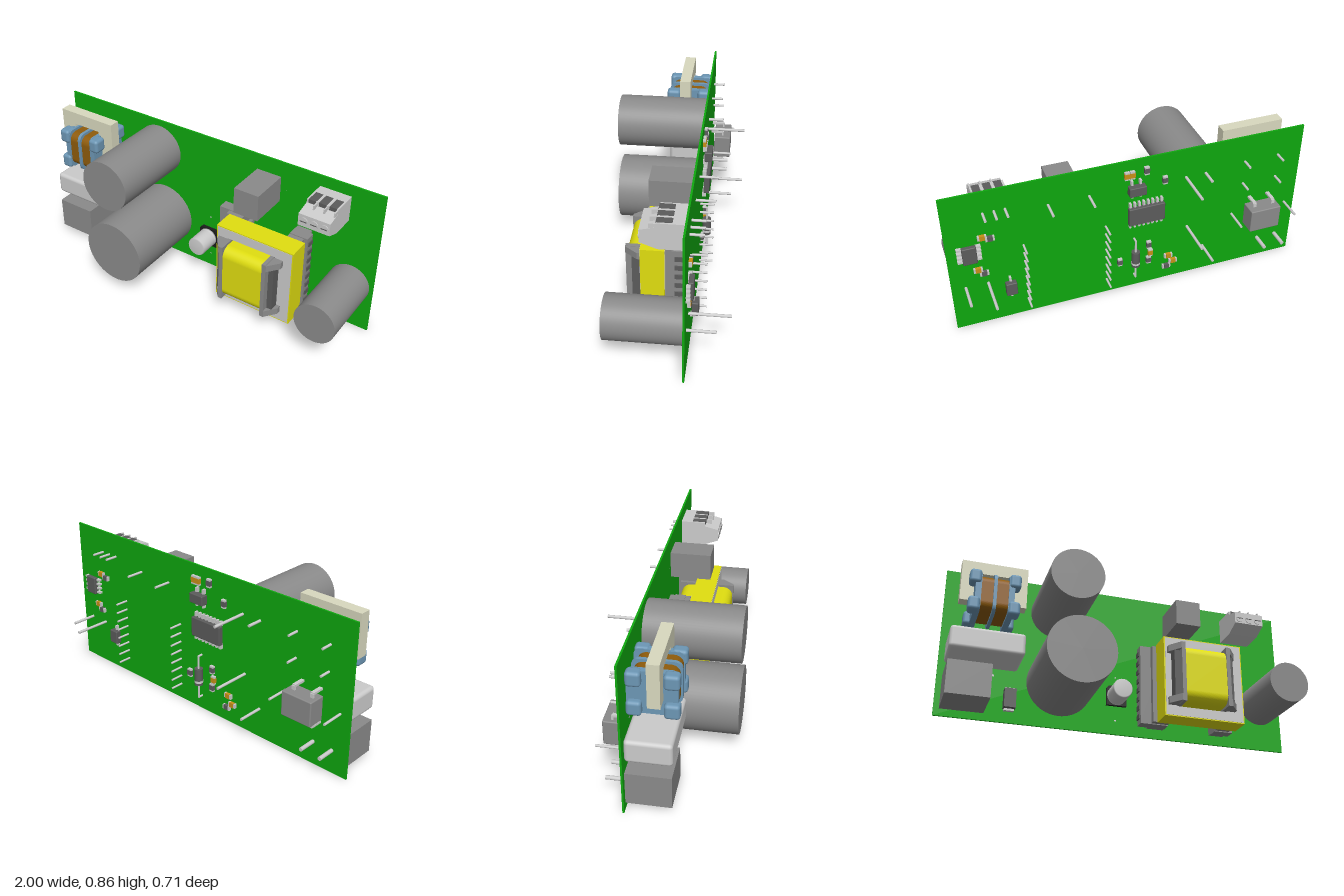
import * as THREE from 'three';
import { RoundedBoxGeometry } from 'three/addons/geometries/RoundedBoxGeometry.js';

const mat = (color) => new THREE.MeshStandardMaterial({ color });
const light = mat(0xcccccc), grey = mat(0x8a8a8a), dark = mat(0x5c5c5c), black = mat(0x1c1c1c);
const green = mat(0x0fa80f), yellow = mat(0xe0de10), blue = mat(0x6d97b5), copper = mat(0x8f5c0c);
const cream = mat(0xd9d9bf), orange = mat(0xc89018);
const FRONT = -0.135, BACK = -0.145; // board faces

export function createModel() {
  const root = new THREE.Group();
  let group = root;
  const part = (name) => {
    group = new THREE.Group();
    group.name = name;
    root.add(group);
  };
  const add = (name, geo, m, x = 0, y = 0, z = 0) => {
    const mesh = new THREE.Mesh(geo, m);
    mesh.name = name;
    mesh.position.set(x, y, z);
    group.add(mesh);
    return mesh;
  };
  // box given by its limits on each axis
  const box = (name, m, x0, x1, y0, y1, z0, z1, r = 0) => {
    const s = [x1 - x0, y1 - y0, z1 - z0];
    const geo = r ? new RoundedBoxGeometry(...s, 3, r) : new THREE.BoxGeometry(...s);
    return add(name, geo, m, (x0 + x1) / 2, (y0 + y1) / 2, (z0 + z1) / 2);
  };
  // cylinder along z
  const rod = (name, m, x, y, r, z0, z1, n = 48) =>
    add(name, new THREE.CylinderGeometry(r, r, z1 - z0, n).rotateX(Math.PI / 2), m, x, y, (z0 + z1) / 2);
  const pin = (x, y, z, r = 0.007) => rod('pin', light, x, y, r, z, FRONT, 12);
  const outline = (pts) => new THREE.Shape(pts.map((p) => new THREE.Vector2(...p)));
  const rect = (x0, x1, y0, y1) => outline([[x0, y0], [x1, y0], [x1, y1], [x0, y1]]);
  const roundRect = (x0, x1, y0, y1, r) => {
    const s = new THREE.Shape();
    s.absarc(x1 - r, y0 + r, r, -Math.PI / 2, 0);
    s.absarc(x1 - r, y1 - r, r, 0, Math.PI / 2);
    s.absarc(x0 + r, y1 - r, r, Math.PI / 2, Math.PI);
    s.absarc(x0 + r, y0 + r, r, Math.PI, Math.PI * 1.5);
    return s;
  };
  const extrude = (shape, depth) => new THREE.ExtrudeGeometry(shape, { depth, bevelEnabled: false, curveSegments: 10 });
  // (z, y) section swept along x; (x, z) section swept along y; (x, y) frame swept along z
  const alongX = (name, m, shape, x0, x1) => add(name, extrude(shape, x1 - x0).rotateY(-Math.PI / 2), m, x1);
  const alongY = (name, m, shape, y0, y1) => add(name, extrude(shape, y1 - y0).rotateX(Math.PI / 2), m, 0, y1);
  const frame = (name, m, outer, hole, z0, z1) => {
    const s = rect(...outer);
    s.holes.push(rect(...hole));
    return add(name, extrude(s, z1 - z0), m, 0, 0, z0);
  };

  box('circuitBoard', green, -1, 1, 0, 0.86, BACK, FRONT);

  // large capacitors with their leads
  const caps = [
    [-0.37, 0.68, 0.145, 0.357, [[-0.31, 0.68, -0.355], [-0.425, 0.68, -0.23]]],
    [-0.337, 0.255, 0.184, 0.357, [[-0.33, 0.34, -0.355], [-0.435, 0.17, -0.29]]],
    [0.865, 0.27, 0.115, 0.257, [[0.805, 0.27, -0.355], [0.925, 0.27, -0.29]]],
  ];
  for (const [x, y, r, z, pins] of caps) {
    part('largeCapacitor');
    rod('can', grey, x, y, r, FRONT, z, 64);
    pins.forEach(([px, py, pz]) => pin(px, py, pz, 0.008));
  }

  part('smallCapacitor');
  alongY('rearSpacer', black, rect(-0.065, 0.033, FRONT, -0.12), 0.17, 0.27);
  add('base', extrude(outline([[-0.074, 0.16], [0.042, 0.16], [0.042, 0.262], [0.03, 0.276], [-0.062, 0.276], [-0.074, 0.262]]), 0.015), black, 0, 0, -0.123);
  const can = [[0, -0.11], [0.055, -0.11], [0.055, -0.098], [0.05, -0.092], [0.055, -0.085], [0.055, 0.01], [0.05, 0.016], [0, 0.016]];
  add('can', new THREE.LatheGeometry(can.map((p) => new THREE.Vector2(...p)), 40).rotateX(Math.PI / 2), light, -0.016, 0.218);

  // input choke
  part('choke');
  frame('core', cream, [-0.935, -0.575, 0.6, 0.84], [-0.845, -0.67, 0.665, 0.77], -0.022, 0.04);
  for (const s of [-1, 1]) {
    const cx = -0.758, lim = (a, b) => (s > 0 ? [cx + a, cx + b] : [cx - b, cx - a]);
    alongX('copperWinding', copper, roundRect(-0.115, 0.105, 0.53, 0.735, 0.045), ...lim(0.007, 0.075));
    alongX('flange', blue, roundRect(-0.135, 0.11, 0.515, 0.75, 0.03), ...lim(0.073, 0.105));
    for (const y of [0.512, 0.675]) {
      box('flangeShoulder', blue, ...lim(0.075, 0.138), y, y + 0.08, 0.045, 0.122, 0.018);
      box('flangeFoot', blue, ...lim(0.075, 0.138), y, y + 0.08, FRONT, -0.06, 0.018);
    }
    for (const y of [0.555, 0.7]) pin(cx + s * 0.1, y, -0.21);
  }
  alongX('centreFlange', blue, roundRect(-0.13, 0.115, 0.515, 0.75, 0.04), -0.767, -0.749);

  part('filmCapacitor');
  box('case', light, -0.97, -0.575, 0.293, 0.42, FRONT, 0.1, 0.02);
  pin(-0.94, 0.355, -0.275);
  pin(-0.605, 0.355, -0.275);

  part('inputBlock');
  box('case', grey, -0.97, -0.74, 0.04, 0.225, FRONT, 0.095);
  pin(-0.79, 0.13, -0.245, 0.011);
  pin(-0.905, 0.13, -0.245, 0.011);

  part('surfaceDiode');
  box('body', dark, -0.642, -0.578, 0.075, 0.182, FRONT, -0.09);
  box('terminals', light, -0.637, -0.583, 0.063, 0.194, FRONT, -0.115);

  part('relayBlock');
  box('case', grey, 0.275, 0.42, 0.62, 0.77, FRONT, 0.093);
  pin(0.235, 0.695, -0.245);
  pin(0.455, 0.695, -0.245);

  // three-way screw terminal
  part('screwTerminal');
  const section = outline([[FRONT, 0.655], [0, 0.655], [0.085, 0.688], [0.085, 0.757], [0.005, 0.776], [0.005, 0.798], [FRONT, 0.798]]);
  alongX('housing', light, section, 0.645, 0.82);
  for (let i = 0; i < 3; i++) {
    const x = 0.676 + i * 0.057;
    rod('screw', light, x, 0.718, 0.024, 0.07, 0.089, 24);
    box('screwSlot', dark, x - 0.018, x + 0.018, 0.716, 0.721, 0.08, 0.0905);
    box('wireEntry', dark, x - 0.02, x + 0.02, 0.779, 0.8, -0.07, 0.007);
    box('rib', light, x + 0.022, x + 0.029, 0.77, 0.795, -0.06, 0.04);
    pin(x, 0.728, -0.215);
  }

  // transformer: taped core, winding and bobbin
  part('transformer');
  const win = [0.262, 0.548, 0.108, 0.457];
  frame('core', light, [0.194, 0.644, 0.056, 0.51], win, -0.013, 0.113);
  frame('coreTape', yellow, [0.187, 0.65, 0.05, 0.516], [0.194, 0.644, 0.056, 0.51], -0.011, 0.111);
  alongX('winding', yellow, roundRect(-0.11, 0.196, 0.122, 0.442, 0.055), 0.275, 0.525);
  for (const s of [-1, 1]) {
    const cx = 0.4, X = (a) => cx + s * a;
    const span = (a, b) => (s > 0 ? [X(a), X(b)] : [X(b), X(a)]);
    box('flange', grey, ...span(0.12, 0.142), 0.11, 0.455, -0.12, 0.2);
    const wedge = [[X(0.13), 0.113], [X(0.195), 0.113], [X(0.195), 0.135], [X(0.145), 0.2], [X(0.13), 0.2]];
    if (s < 0) wedge.reverse();
    for (const y of [0.112, 0.415]) alongY('flangeWedge', grey, outline(wedge), y, y + 0.038);
    box('flangeRib', dark, ...span(0.14, 0.172), 0.15, 0.415, 0.113, 0.165);
    const out = s < 0 ? 0.297 : 0.245;
    box('pinRail', grey, ...span(0.14, out), 0.05, 0.515, -0.105, -0.045);
    box('railStep', grey, ...span(0.14, s < 0 ? 0.235 : 0.225), 0.055, 0.51, FRONT, -0.015);
    for (let i = 0; i < 8; i++) {
      const y = 0.093 + i * 0.054;
      rod('railBoss', dark, X(out - 0.03), y, 0.016, FRONT, -0.1, 12);
      box('railTooth', dark, ...span(out - 0.005, out + 0.006), y - 0.013, y + 0.013, -0.1, -0.06);
      pin(X(out - 0.045), y, -0.22, 0.006);
    }
  }

  // chip on the back with rows of legs along its two long sides
  const chip = (name, x, y, w, h, depth, legs, vertical, m = dark) => {
    part(name);
    box('body', m, x - w / 2, x + w / 2, y - h / 2, y + h / 2, BACK - depth, BACK - 0.008, 0.005);
    const long = vertical ? h : w, wide = (vertical ? w : h) / 2 + 0.012;
    for (let i = 0; i < legs; i++) for (const s of [-1, 1]) {
      const t = ((i + 0.5) / legs - 0.5) * long;
      const [lx, ly] = vertical ? [x + s * wide, y + t] : [x + t, y + s * wide];
      const [a, b] = vertical ? [0.014, 0.006] : [0.006, 0.014];
      box('leg', light, lx - a, lx + a, ly - b, ly + b, BACK - 0.02, BACK);
    }
  };
  chip('controlChip', -0.077, 0.515, 0.205, 0.11, 0.038, 8, false);
  chip('sideChip', 0.885, 0.5, 0.075, 0.105, 0.034, 4, true);
  chip('smallChip', 0.69, 0.22, 0.06, 0.08, 0.043, 1, false);
  chip('regulator', -0.02, 0.687, 0.095, 0.055, 0.05, 2, false);

  part('optocoupler');
  box('body', grey, -0.85, -0.67, 0.29, 0.428, -0.263, -0.165, 0.006);
  for (const x of [-0.82, -0.708]) for (const [y, s] of [[0.45, -1], [0.262, 1]]) {
    box('leg', light, x - 0.01, x + 0.01, y - 0.006, y + 0.006, -0.215, FRONT);
    box('legBend', light, x - 0.01, x + 0.01, y + s * 0.015 - 0.016, y + s * 0.015 + 0.016, -0.221, -0.21);
  }

  part('axialResistor');
  const along = (name, m, r, y0, y1) => add(name, new THREE.CylinderGeometry(r, r, y1 - y0, 20), m, -0.016, (y0 + y1) / 2, -0.172);
  along('body', dark, 0.024, 0.165, 0.265);
  along('band', light, 0.025, 0.18, 0.193);
  along('lead', light, 0.006, 0.08, 0.342);
  for (const y of [0.082, 0.34]) rod('leadEnd', light, -0.016, y, 0.006, -0.175, FRONT, 10);

  // small surface parts on the back: x, y, body material, upright
  const chips = [
    [0.0, 0.775, orange, 1], [0.03, 0.775, orange, 1], [-0.08, 0.785, dark, 1], [-0.185, 0.7, dark, 1],
    [0.81, 0.585, orange, 0], [0.85, 0.38, orange, 0], [0.77, 0.57, dark, 0], [0.82, 0.35, dark, 0],
    [-0.1, 0.28, dark, 1], [-0.11, 0.22, orange, 1], [-0.1, 0.17, dark, 1], [0.07, 0.2, dark, 1],
    [-0.22, 0.165, orange, 0], [-0.25, 0.12, orange, 0], [-0.21, 0.09, dark, 0],
  ];
  for (const [x, y, m, upright] of chips) {
    part('surfacePart');
    const [a, b] = upright ? [0.013, 0.024] : [0.024, 0.013];
    const k = upright ? [1, 0.55] : [0.55, 1];
    box('ends', light, x - a, x + a, y - b, y + b, -0.161, BACK);
    box('body', m, x - a * k[0] - 0.001, x + a * k[0] + 0.001, y - b * k[1] - 0.001, y + b * k[1] + 0.001, -0.163, BACK);
  }
  return root;
}
